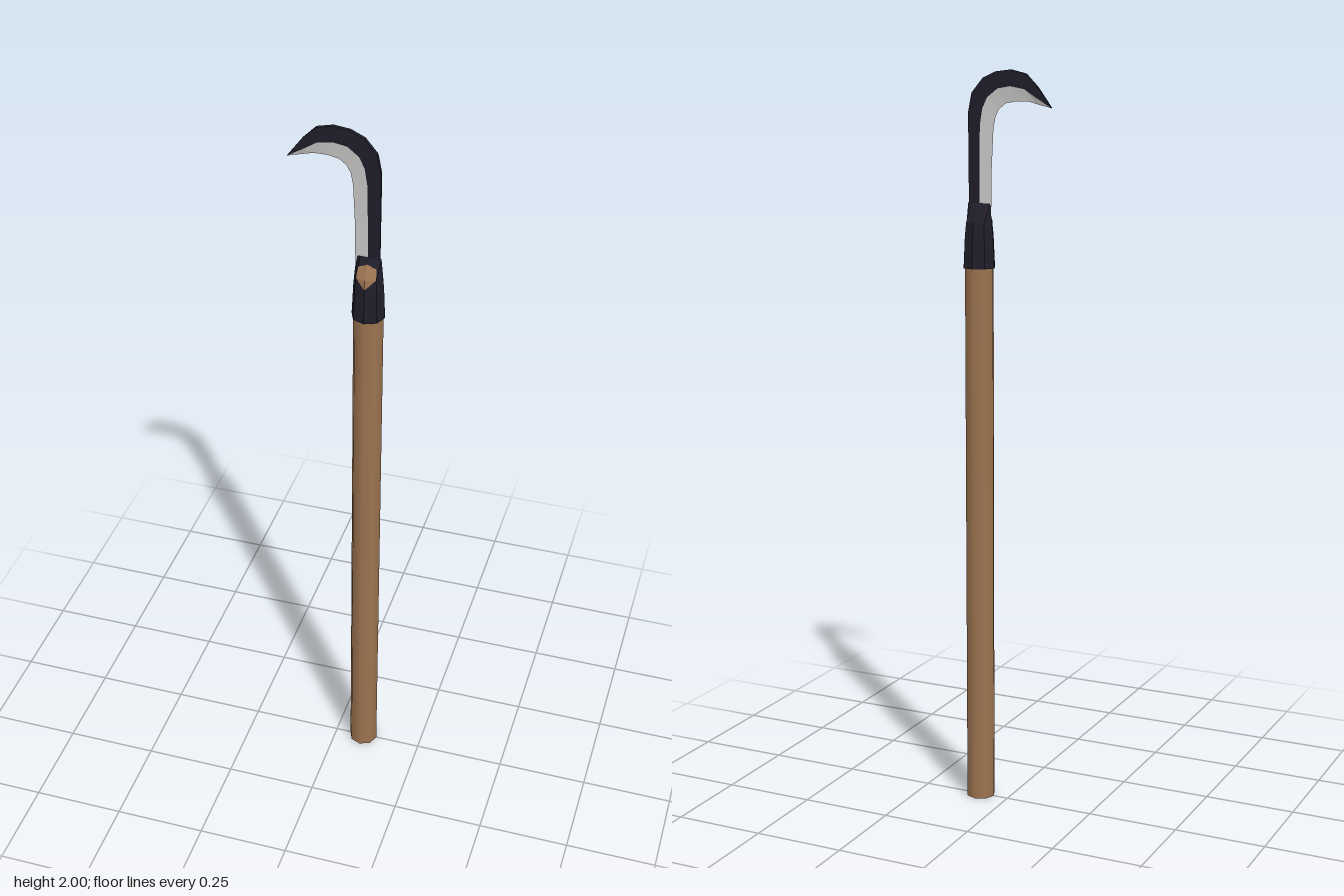
import * as THREE from 'three';

const mat = (name, color) => {
  const m = new THREE.MeshStandardMaterial({ color });
  m.name = name;
  return m;
};

const CX = 0.082; // pole axis

// Flat-shaded surface through a list of rows of [x, y, z] points
function strip(name, rows, material, closed = false) {
  const pos = [];
  const n = rows[0].length;
  for (let i = 0; i < rows.length - 1; i++) {
    for (let j = 0; j < (closed ? n : n - 1); j++) {
      const k = (j + 1) % n;
      const a = rows[i][j], b = rows[i][k], c = rows[i + 1][k], d = rows[i + 1][j];
      pos.push(...a, ...b, ...c, ...a, ...c, ...d);
    }
  }
  const g = new THREE.BufferGeometry();
  g.setAttribute('position', new THREE.Float32BufferAttribute(pos, 3));
  g.computeVertexNormals();
  const mesh = new THREE.Mesh(g, material);
  mesh.name = name;
  return mesh;
}

export function createModel() {
  const wood = mat('wood', 0x9c7350);
  const iron = mat('dark iron', 0x1f1e2a);
  const steel = mat('sharpened steel', 0xcbcac8);
  iron.side = steel.side = wood.side = THREE.DoubleSide;
  const model = new THREE.Group();
  model.name = 'billhook';

  // Pole
  const pole = new THREE.Mesh(new THREE.CylinderGeometry(0.04, 0.04, 1.52, 8), wood);
  pole.name = 'pole';
  pole.position.set(CX, 0.76, 0);
  model.add(pole);

  // Socket: octagonal sections [y, x radius, z radius], pinched flat at the top
  const sections = [
    [1.49, 0.037, 0.037], [1.485, 0.044, 0.044], [1.505, 0.043, 0.043],
    [1.57, 0.04, 0.04], [1.605, 0.037, 0.035], [1.655, 0.032, 0.003], [1.655, 0.0, 0.0],
  ];
  const ringPoint = (a, y, rx, rz) => [CX + Math.cos(a) * rx, y, Math.sin(a) * rz];
  const rings = sections.map(([y, rx, rz]) =>
    Array.from({ length: 8 }, (_, j) => ringPoint(-j * Math.PI / 4, y, rx, rz)));
  model.add(strip('socket', rings, iron, true));

  // Pole end showing through the front of the socket, just proud of its surface
  const onSocket = (a, y) => {
    const i = sections.findIndex((s, k) => k > 2 && s[0] >= y);
    const [p, q] = [sections[i - 1], sections[i]];
    const t = (y - p[0]) / (q[0] - p[0]);
    const [x, yy, z] = ringPoint(a, y, p[1] + (q[1] - p[1]) * t, p[2] + (q[2] - p[2]) * t);
    return [x, yy + 0.0015, z + 0.0015];
  };
  const end = [[1.58, 1.605], [1.605, 1.605], [1.64, 1.63]].map(([mid, side]) => [
    onSocket(Math.PI * 0.75, side), onSocket(Math.PI / 2, mid), onSocket(Math.PI / 4, side)]);
  model.add(strip('exposedPoleEnd', end, wood));

  // Blade stations: spine x, y, bevel line x, y, cutting edge x, y, half thickness
  const stations = [
    [0.111, 1.63, 0.080, 1.63, 0.047, 1.63, 0.002],
    [0.111, 1.75, 0.079, 1.75, 0.045, 1.75, 0.003],
    [0.111, 1.89, 0.077, 1.857, 0.040, 1.85, 0.005],
    [0.101, 1.94, 0.070, 1.90, 0.034, 1.88, 0.005],
    [0.069, 1.978, 0.056, 1.929, 0.024, 1.899, 0.005],
    [0.032, 1.995, 0.026, 1.952, 0.005, 1.914, 0.005],
    [-0.010, 2.0, -0.010, 1.958, -0.026, 1.92, 0.005],
    [-0.053, 1.99, -0.050, 1.951, -0.060, 1.92, 0.005],
    [-0.087, 1.956, -0.083, 1.93, -0.090, 1.912, 0.005],
    [-0.126, 1.904, -0.126, 1.904, -0.126, 1.904, 0.003],
  ];
  const blade = new THREE.Group();
  blade.name = 'blade';
  blade.add(strip('bladeSpine', stations.map(([sx, sy, bx, by, , , t]) =>
    [[bx, by, t], [sx, sy, t], [sx, sy, -t], [bx, by, -t]]), iron));
  blade.add(strip('cuttingBevel', stations.map(([, , bx, by, ex, ey, t]) =>
    [[bx, by, -t], [ex, ey, 0], [bx, by, t]]), steel));
  model.add(blade);

  return model;
}
